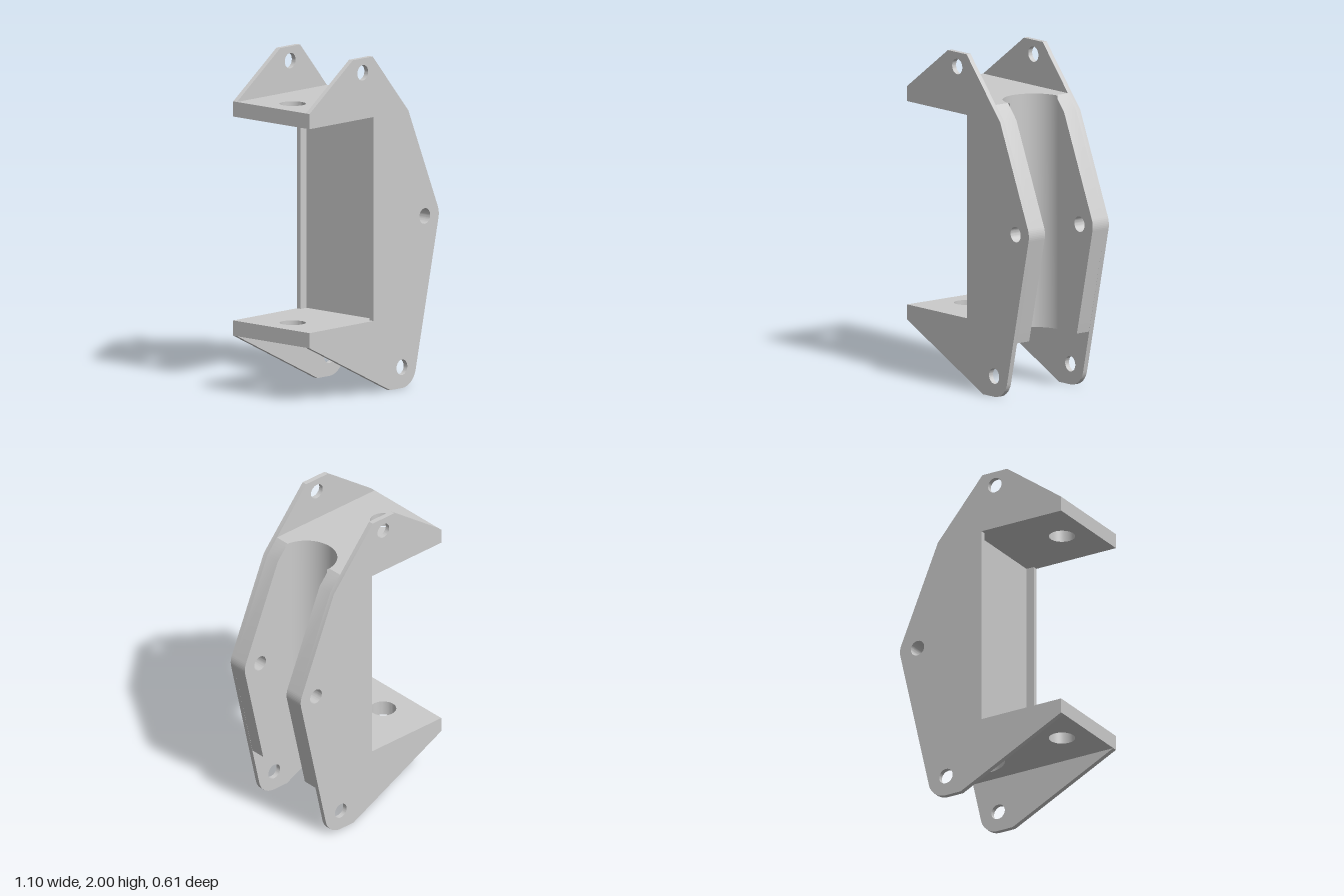
import * as THREE from 'three';
import { toCreasedNormals } from 'three/addons/utils/BufferGeometryUtils.js';

const material = new THREE.MeshStandardMaterial({ color: 0xcccccc });

const HALF = 0.305;    // outer half width
const INNER = 0.275;   // inner face of the side plates
const SLOT = 0.182;    // radius and half width of the round channel
const WALL = 0.04;     // back of the recessed wall
const LOW = 0.34, LOW_SEAT = 0.43, HIGH_SEAT = 1.64, HIGH = 1.73;
const BACK = -0.555;

function addHole(shape, x, y, r) {
  const hole = new THREE.Path();
  hole.absarc(x, y, r, 0, Math.PI * 2, true);
  shape.holes.push(hole);
}

function extrude(shape, depth) {
  const g = new THREE.ExtrudeGeometry(shape, { depth, bevelEnabled: false, curveSegments: 24 });
  return toCreasedNormals(g, 0.4);
}

function addMesh(group, name, geometry) {
  const mesh = new THREE.Mesh(geometry, material);
  mesh.name = name;
  group.add(mesh);
  return mesh;
}

// Side plate: C-shaped outline with three bolt holes
function plateShape() {
  const s = new THREE.Shape();
  s.moveTo(BACK, LOW);
  s.lineTo(0.135, 0);
  s.lineTo(0.235, 0);
  s.absarc(0.235, 0.12, 0.12, -Math.PI / 2, -0.222, false);
  s.absarc(0.43, 0.995, 0.12, -0.222, 0.394, false);
  s.lineTo(0.29, HIGH_SEAT);
  s.lineTo(-0.015, 2);
  s.lineTo(-0.185, 2);
  s.lineTo(BACK, HIGH);
  s.lineTo(BACK, HIGH_SEAT);
  s.lineTo(-0.01, HIGH_SEAT);
  s.lineTo(-0.01, LOW_SEAT);
  s.lineTo(BACK, LOW_SEAT);
  s.closePath();
  addHole(s, -0.1, 1.915, 0.046);
  addHole(s, 0.43, 0.995, 0.046);
  addHole(s, 0.235, 0.123, 0.046);
  return s;
}

// Cheek: thickens the plate beside the channel
function cheekShape() {
  const s = new THREE.Shape();
  s.moveTo(WALL, LOW);
  s.lineTo(0.406, LOW);
  s.absarc(0.43, 0.995, 0.12, -0.222, 0.394, false);
  s.lineTo(0.29, HIGH_SEAT);
  s.lineTo(0.214, HIGH);
  s.lineTo(WALL, HIGH);
  s.closePath();
  addHole(s, 0.43, 0.995, 0.046);
  return s;
}

// Channel wall in plan: flat back, half-round front
function channelShape() {
  const s = new THREE.Shape();
  s.moveTo(WALL, -SLOT);
  s.lineTo(0.232, -SLOT);
  s.absarc(0.232, 0, SLOT, -Math.PI / 2, -Math.PI * 1.5, true);
  s.lineTo(WALL, SLOT);
  s.closePath();
  return s;
}

// Flange in plan, with its large hole
function flangeShape() {
  const s = new THREE.Shape();
  s.moveTo(BACK, -INNER);
  s.lineTo(WALL, -INNER);
  s.lineTo(WALL, INNER);
  s.lineTo(BACK, INNER);
  s.closePath();
  addHole(s, -0.373, 0, 0.077);
  return s;
}

// Extrudes a plan shape upwards between two heights
function upright(shape, y0, y1) {
  return extrude(shape, y1 - y0).rotateX(-Math.PI / 2).translate(0, y0, 0);
}

export function createModel() {
  const group = new THREE.Group();
  group.name = 'bracket';

  for (const [side, name] of [[1, 'front'], [-1, 'back']]) {
    const plateZ = side > 0 ? INNER : -HALF;
    const cheekZ = side > 0 ? SLOT : -INNER;
    addMesh(group, name + 'SidePlate', extrude(plateShape(), HALF - INNER)).position.z = plateZ;
    addMesh(group, name + 'Cheek', extrude(cheekShape(), INNER - SLOT)).position.z = cheekZ;
  }

  addMesh(group, 'channelWall', upright(channelShape(), LOW, HIGH));
  addMesh(group, 'lowerFlange', upright(flangeShape(), LOW, LOW_SEAT));
  addMesh(group, 'upperFlange', upright(flangeShape(), HIGH_SEAT, HIGH));
  return group;
}
